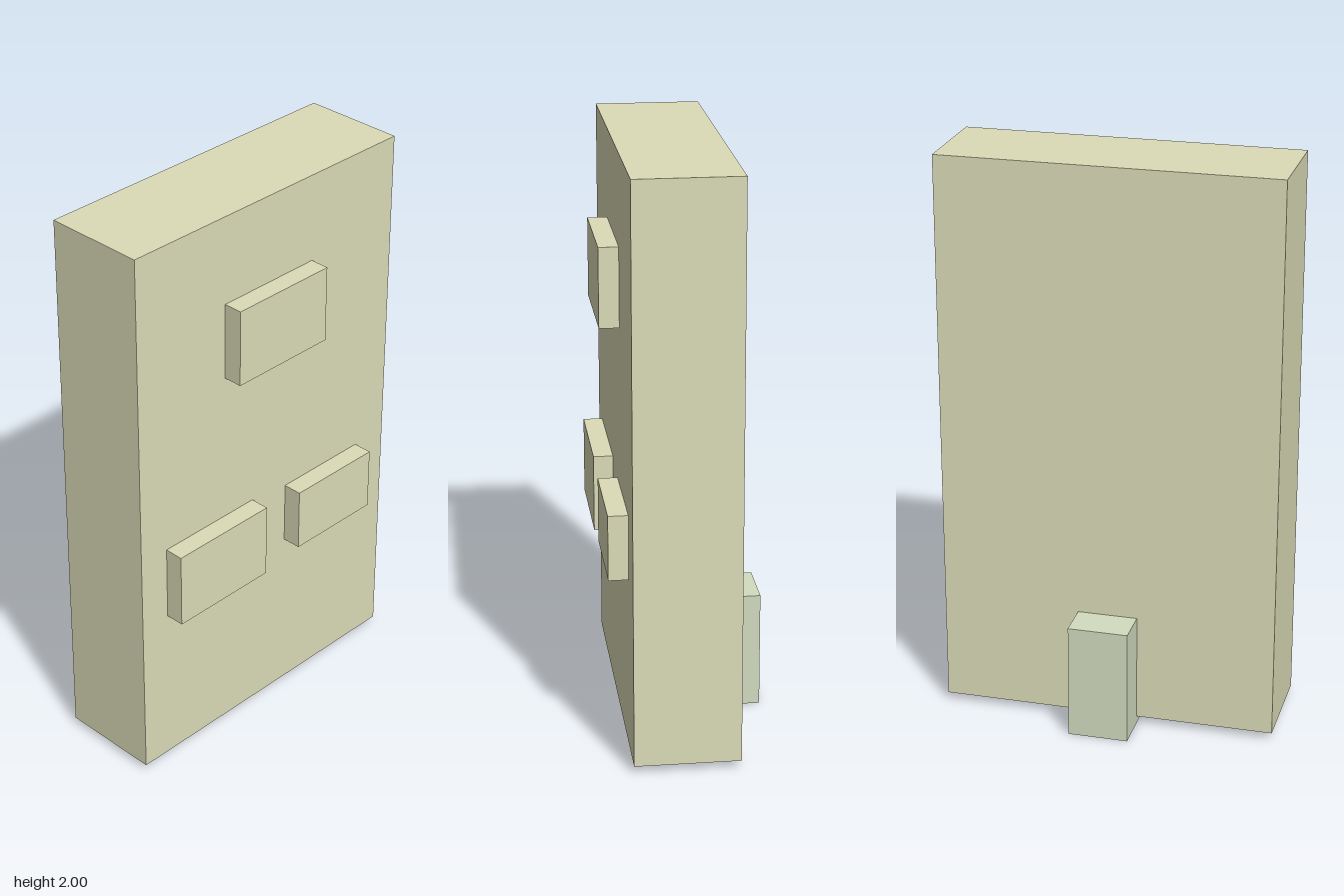
import * as THREE from 'three';

const bodyMaterial = new THREE.MeshStandardMaterial({ color: 0xdcdcb8 });
const footMaterial = new THREE.MeshStandardMaterial({ color: 0xd3dcc0 });

// Box given by its extents along each axis
function block(name, [x0, x1], [y0, y1], [z0, z1], material) {
  const mesh = new THREE.Mesh(new THREE.BoxGeometry(x1 - x0, y1 - y0, z1 - z0), material);
  mesh.position.set((x0 + x1) / 2, (y0 + y1) / 2, (z0 + z1) / 2);
  mesh.name = name;
  return mesh;
}

export function createModel() {
  const model = new THREE.Group();
  model.name = 'panelBlock';

  // Main slab
  model.add(block('body', [-0.585, 0.585], [0.027, 2], [-0.146, 0.212], bodyMaterial));

  // Raised plates on the front face
  const plateDepth = [0.212, 0.279];
  model.add(
    block('upperPlate', [-0.201, 0.199], [1.418, 1.69], plateDepth, bodyMaterial),
    block('lowerRightPlate', [-0.472, -0.07], [0.61, 0.88], plateDepth, bodyMaterial),
    block('lowerLeftPlate', [0.09, 0.447], [0.635, 0.86], plateDepth, bodyMaterial)
  );

  // Foot behind and slightly below the slab
  model.add(block('rearFoot', [-0.105, 0.104], [0, 0.408], [-0.279, -0.012], footMaterial));

  return model;
}
